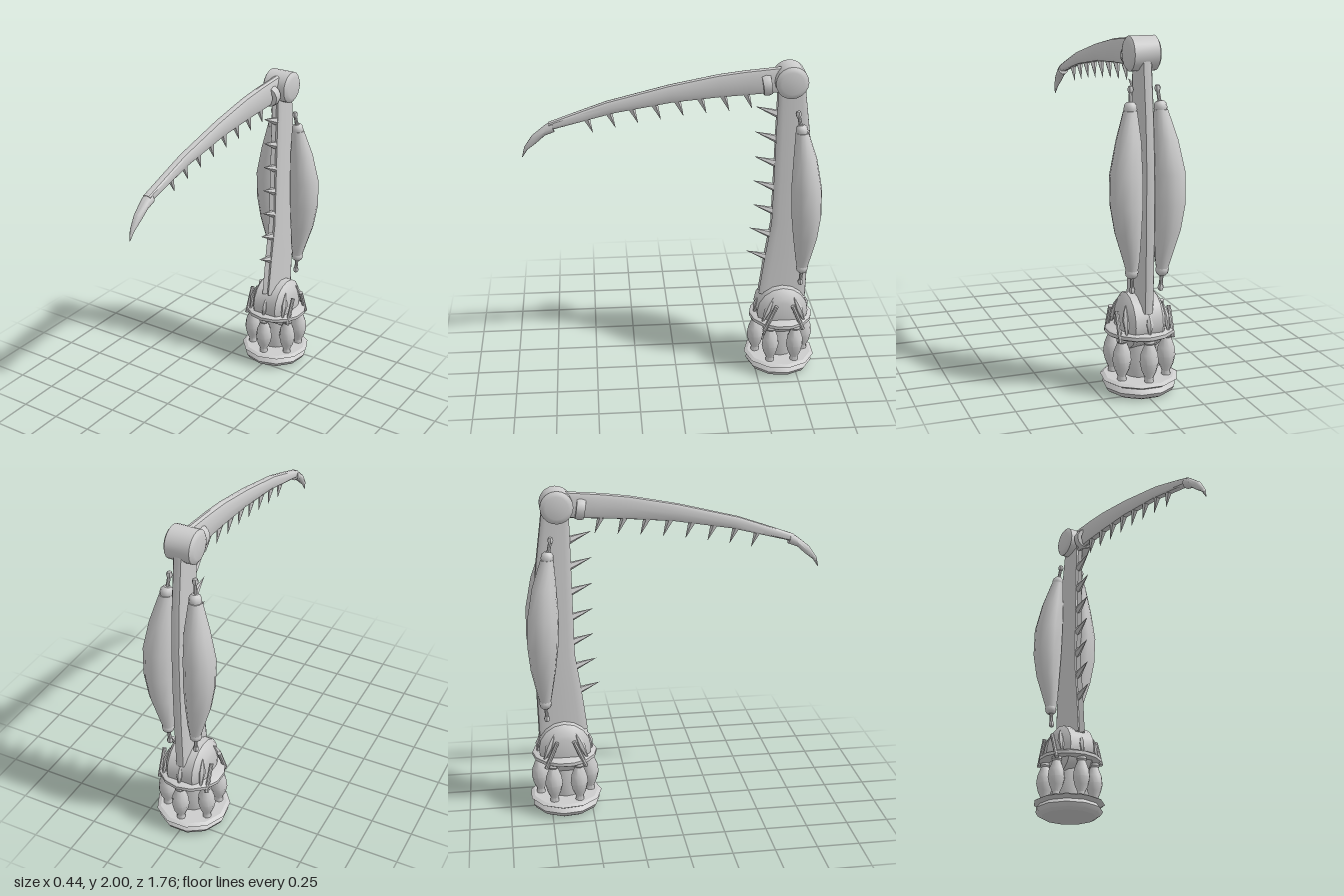
import * as THREE from 'three';
import { toCreasedNormals } from 'three/addons/utils/BufferGeometryUtils.js';

const grey = new THREE.MeshStandardMaterial({ color: 0xcccccc });
grey.name = 'plain grey';
const V = (x, y, z) => new THREE.Vector3(x, y, z);
const CZ = -0.658; // z of the base and elbow axis

function add(group, name, geometry, crease = 0.7) {
  const mesh = new THREE.Mesh(toCreasedNormals(geometry, crease), grey);
  mesh.name = name;
  group.add(mesh);
  return mesh;
}

// Turned part from [radius, height] pairs, bottom to top
function turned(points, sides) {
  return new THREE.LatheGeometry(points.map(p => new THREE.Vector2(p[0], p[1])), sides);
}

// Stand a unit-high part (base at its origin) between two points
function between(mesh, a, b) {
  const d = b.clone().sub(a);
  mesh.position.copy(a);
  mesh.scale.y = d.length();
  mesh.quaternion.setFromUnitVectors(V(0, 1, 0), d.normalize());
  return mesh;
}

function spike(group, name, base, tip, radius) {
  const g = new THREE.ConeGeometry(radius, 1, 5).translate(0, 0.5, 0);
  return between(add(group, name, g, 0.3), base, tip);
}

// Skin over sections [centreX, halfWidth, y1, z1, y2, z2]; the two points are opposite edges
function loft(sections, sides, square = 1, groove = 0) {
  const pos = [], index = [];
  const bend = t => Math.sign(t) * Math.pow(Math.abs(t), square);
  for (const [cx, w, y1, z1, y2, z2] of sections) {
    for (let j = 0; j < sides; j++) {
      const a = j / sides * Math.PI * 2;
      const c = bend(Math.cos(a));
      let s = bend(Math.sin(a));
      if (s > 0 && Math.abs(c) < 0.2) s -= groove;
      pos.push(cx + w * c, (y1 + y2) / 2 + (y2 - y1) / 2 * s, (z1 + z2) / 2 + (z2 - z1) / 2 * s);
    }
  }
  const last = sections.length - 1;
  for (let i = 0; i < last; i++) {
    for (let j = 0; j < sides; j++) {
      const k = (j + 1) % sides, a = i * sides, b = a + sides;
      index.push(a + j, b + j, a + k, b + j, b + k, a + k);
    }
  }
  // end caps
  for (const i of [0, last]) {
    const [cx, , y1, z1, y2, z2] = sections[i];
    const centre = pos.length / 3;
    pos.push(cx, (y1 + y2) / 2, (z1 + z2) / 2);
    for (let j = 0; j < sides; j++) {
      const p = i * sides + j, q = i * sides + (j + 1) % sides;
      if (i === 0) index.push(centre, p, q);
      else index.push(centre, q, p);
    }
  }
  const g = new THREE.BufferGeometry();
  g.setAttribute('position', new THREE.Float32BufferAttribute(pos, 3));
  g.setIndex(index);
  return g;
}

function buildBase() {
  const base = new THREE.Group();
  base.name = 'base';
  base.position.z = CZ;
  add(base, 'foot', turned([[0, 0.005], [0.17, 0.005], [0.195, 0.02], [0.21, 0.045], [0.19, 0.07],
    [0.2, 0.075], [0.222, 0.088], [0.2, 0.1], [0, 0.1]], 11), 0.5);
  add(base, 'column', turned([[0.085, 0.09], [0.1, 0.2], [0.085, 0.35]], 12));
  add(base, 'collar', turned([[0, 0.345], [0.185, 0.345], [0.196, 0.352], [0.196, 0.372], [0.185, 0.38], [0, 0.38]], 14));

  // six bulbs around the column
  const bulb = [[0.026, 0.1], [0.024, 0.125], [0.042, 0.165], [0.053, 0.215], [0.047, 0.265],
    [0.026, 0.32], [0.032, 0.33], [0.028, 0.35]];
  for (let i = 0; i < 6; i++) {
    const a = i * Math.PI / 3;
    add(base, 'bulb', turned(bulb, 10)).position.set(0.153 * Math.sin(a), 0, 0.153 * Math.cos(a));
  }

  // shoulder wheel lying across the collar
  const wheel = add(base, 'shoulderWheel', turned([[0, -0.125], [0.075, -0.125], [0.1, -0.118], [0.135, -0.1],
    [0.158, -0.08], [0.158, 0.08], [0.135, 0.1], [0.1, 0.118], [0.075, 0.125], [0, 0.125]], 16));
  wheel.rotation.z = Math.PI / 2;
  wheel.position.y = 0.42;

  // leaning rods and small spindles on the collar
  const thin = [[0.006, 0], [0.013, 0.25], [0.022, 0.5], [0.013, 0.8], [0, 1]];
  for (const s of [-1, 1]) {
    between(add(base, 'smallSpindle', turned(thin, 6)), V(0, 0.37, 0.165 * s), V(0, 0.49, 0.14 * s));
    for (const x of [-0.155, 0.155]) {
      const rod = new THREE.CylinderGeometry(0.013, 0.013, 1, 8).translate(0, 0.5, 0);
      between(add(base, 'rod', rod), V(x, 0.33, 0.12 * s), V(x, 0.495, 0.05 * s));
      between(add(base, 'smallSpindle', turned(thin, 6)), V(x * 0.8, 0.37, 0.13 * s), V(x * 0.7, 0.53, 0.065 * s));
    }
  }
  return base;
}

function buildUpperArm() {
  const arm = new THREE.Group();
  arm.name = 'upperArm';
  add(arm, 'armBlade', loft([
    [0, 0.036, 0.49, -0.81, 0.52, -0.508], [0, 0.037, 0.8, -0.815, 0.78, -0.54],
    [0, 0.037, 1.0, -0.815, 1.0, -0.573], [0, 0.036, 1.3, -0.81, 1.3, -0.577],
    [0, 0.035, 1.55, -0.79, 1.55, -0.58], [0, 0.034, 1.88, -0.745, 1.88, -0.585],
  ], 16, 0.5, 0.2), 0.6);
  for (let i = 0; i < 7; i++) {
    const y = 0.765 + i * 0.156;
    const z = i === 0 ? -0.55 : i === 1 ? -0.565 : -0.578;
    spike(arm, 'armSpine', V(0, y - 0.006, z - 0.02), V(0, y + 0.045, z + 0.118), 0.026);
  }
  return arm;
}

// Bulging muscle with end caps, tendons and beads; side is +1 or -1
function buildMuscle(side) {
  const muscle = new THREE.Group();
  muscle.name = 'muscle';
  const sections = [[0.73, 0.088, -0.765, 0.032], [0.8, 0.094, -0.767, 0.047], [0.95, 0.114, -0.77, 0.074],
    [1.1, 0.124, -0.768, 0.09], [1.27, 0.124, -0.76, 0.091], [1.45, 0.106, -0.747, 0.07], [1.61, 0.088, -0.724, 0.038]];
  add(muscle, 'muscleBelly', loft(sections.map(([y, x, z, r]) => [x * side, r, y, z - r, y, z + r]), 12));
  const cap = [[0, -0.1], [0.03, -0.1], [0.037, 0.3], [0.033, 0.75], [0.02, 1], [0, 1]];
  const ends = [
    [V(0.088 * side, 1.6, -0.725), V(0.083 * side, 1.655, -0.717), V(0.077 * side, 1.72, -0.7)],
    [V(0.09 * side, 0.745, -0.765), V(0.088 * side, 0.695, -0.765), V(0.084 * side, 0.625, -0.76)],
  ];
  for (const [a, b, c] of ends) {
    between(add(muscle, 'muscleCap', turned(cap, 10)), a, b);
    between(add(muscle, 'tendon', new THREE.CylinderGeometry(0.01, 0.012, 1, 8).translate(0, 0.5, 0)), a, c);
    const bead = add(muscle, 'tendonBead', new THREE.SphereGeometry(0.019, 6, 4));
    bead.position.copy(c);
    bead.scale.y = 1.2;
  }
  return muscle;
}

function buildForearm() {
  const forearm = new THREE.Group();
  forearm.name = 'forearm';
  // elbow drum
  const drum = add(forearm, 'elbow', turned([[0, -0.088], [0.065, -0.088], [0.08, -0.083], [0.095, -0.072],
    [0.095, 0.072], [0.08, 0.083], [0.065, 0.088], [0, 0.088]], 20));
  drum.rotation.z = Math.PI / 2;
  drum.position.set(0, 1.905, CZ);

  // padded cuff where the blade leaves the elbow
  const cuff = add(forearm, 'cuff', turned([[0.035, -0.025], [0.062, -0.025], [0.068, 0], [0.062, 0.025], [0.035, 0.025], [0.035, -0.025]], 14));
  cuff.rotation.x = Math.PI / 2 + 0.15;
  cuff.position.set(0, 1.88, -0.522);

  add(forearm, 'forearmBlade', loft([
    [0, 0.028, 1.985, -0.63, 1.83, -0.63], [0, 0.028, 1.965, -0.4, 1.818, -0.42],
    [0, 0.027, 1.945, -0.24, 1.808, -0.25], [0, 0.027, 1.89, 0.04, 1.785, 0.02],
    [0, 0.026, 1.8, 0.4, 1.73, 0.36], [0, 0.026, 1.74, 0.57, 1.685, 0.54], [0, 0.025, 1.68, 0.735, 1.64, 0.72],
  ], 12, 0.6), 0.6);
  add(forearm, 'claw', loft([
    [0, 0.033, 1.69, 0.715, 1.625, 0.7], [0, 0.03, 1.665, 0.755, 1.605, 0.755],
    [0, 0.023, 1.605, 0.83, 1.56, 0.805], [0, 0.013, 1.535, 0.878, 1.52, 0.858], [0, 0.002, 1.475, 0.893, 1.475, 0.888],
  ], 10));

  // spines under the blade
  const edge = new THREE.CatmullRomCurve3([V(0, 1.82, -0.4), V(0, 1.785, 0), V(0, 1.74, 0.32), V(0, 1.7, 0.52)]);
  for (let i = 0; i < 8; i++) {
    const base = edge.getPointAt(i / 7);
    base.y += 0.015;
    spike(forearm, 'forearmSpine', base, base.clone().add(V(0, -0.105, -0.042)), 0.023);
  }
  return forearm;
}

export function createModel() {
  const model = new THREE.Group();
  model.name = 'clawArm';
  model.add(buildBase(), buildUpperArm(), buildMuscle(1), buildMuscle(-1), buildForearm());
  return model;
}
